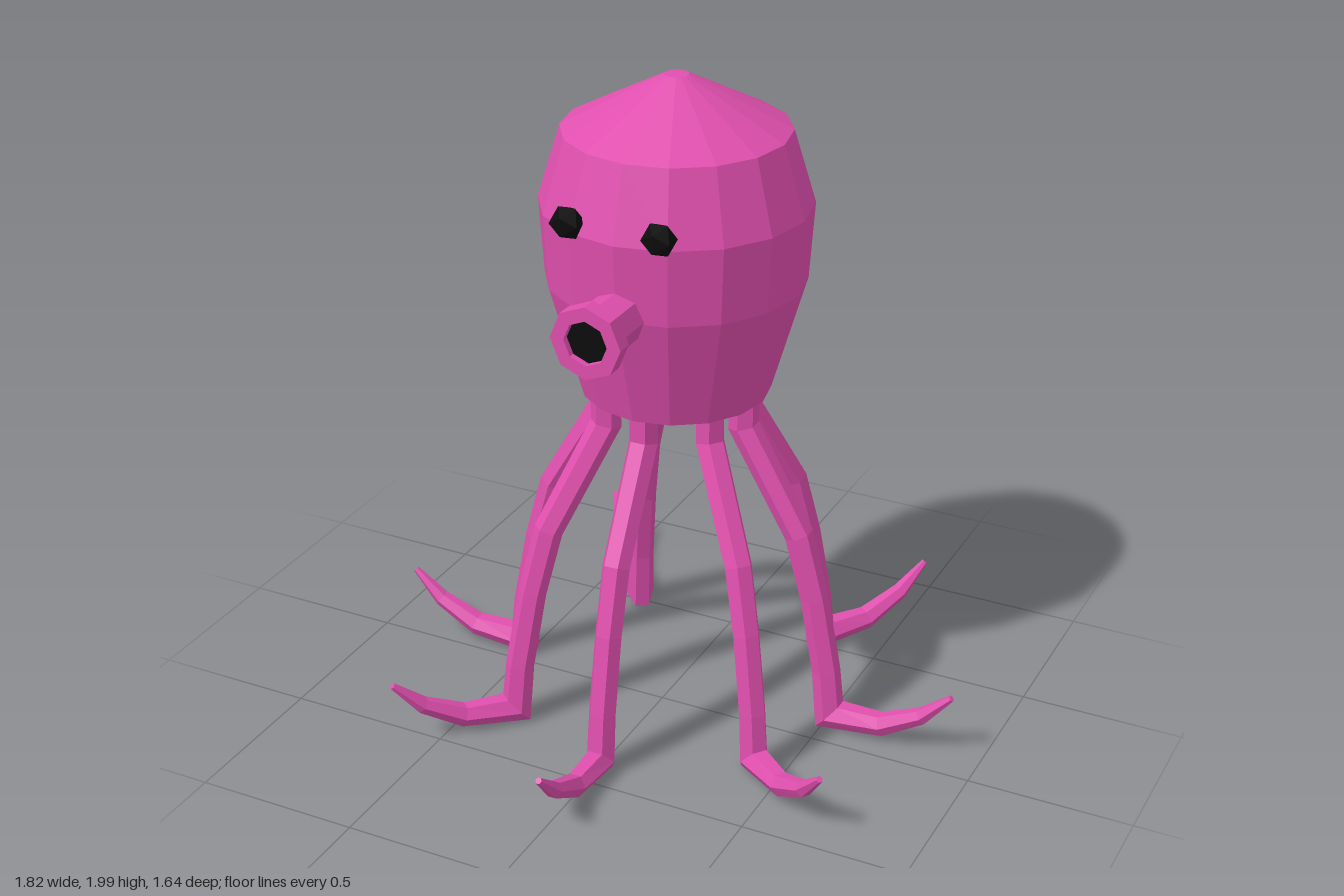
import * as THREE from 'three';

const CENTER_Z = -0.09;
const pink = new THREE.MeshStandardMaterial({ color: 0xe04fae, flatShading: true });
const black = new THREE.MeshStandardMaterial({ color: 0x0c0c0c, flatShading: true });

function add(parent, name, geometry, material) {
  const mesh = new THREE.Mesh(geometry, material);
  mesh.name = name;
  parent.add(mesh);
  return mesh;
}

function lathe(profile, sides) {
  return new THREE.LatheGeometry(profile.map(([r, y]) => new THREE.Vector2(r, y)), sides);
}

// Mitred six-sided limb; path rows are [outward distance, height, radius]
function limbGeometry(path, sides = 6) {
  const pts = path.map(([x, y]) => new THREE.Vector2(x, y));
  const pos = [], index = [];
  path.forEach(([x, y, r], i) => {
    const a = pts[i].clone().sub(pts[Math.max(i - 1, 0)]).normalize();
    const b = pts[Math.min(i + 1, pts.length - 1)].clone().sub(pts[i]).normalize();
    const t = a.clone().add(b).normalize();
    const mitre = r / Math.max(t.dot(i ? a : b), 0.6);
    for (let k = 0; k < sides; k++) {
      const ang = (k / sides) * Math.PI * 2;
      const s = Math.sin(ang) * mitre;
      pos.push(x - t.y * s, y + t.x * s, Math.cos(ang) * r);
      if (i < path.length - 1) {
        const p = i * sides + k, q = i * sides + ((k + 1) % sides);
        index.push(p, p + sides, q, q, p + sides, q + sides);
      }
    }
  });
  // close both ends
  const last = (path.length - 1) * sides;
  for (let k = 1; k < sides - 1; k++) {
    index.push(0, k, k + 1, last, last + k + 1, last + k);
  }
  const g = new THREE.BufferGeometry();
  g.setAttribute('position', new THREE.Float32BufferAttribute(pos, 3));
  g.setIndex(index);
  g.computeVertexNormals();
  return g;
}

export function createModel() {
  const model = new THREE.Group();
  model.name = 'octopus';

  // Head: faceted barrel with a shallow cone on top
  const head = add(model, 'head', lathe([
    [0, 1.05], [0.28, 1.05], [0.38, 1.4], [0.395, 1.63], [0.33, 1.845], [0.035, 2], [0, 2],
  ], 16), pink);
  head.position.z = CENTER_Z;

  // Eyes
  [['leftEye', 0.13], ['rightEye', -0.15]].forEach(([name, x]) => {
    const eye = add(model, name, new THREE.IcosahedronGeometry(0.051, 0), black);
    eye.position.set(x, 1.665, 0.283);
  });

  // Siphon: tube with a flanged rim and a dark recessed opening
  const siphon = new THREE.Group();
  siphon.name = 'siphon';
  siphon.rotation.x = Math.PI / 2;
  siphon.position.y = 1.408;
  model.add(siphon);
  add(siphon, 'siphonTube', lathe([
    [0.08, 0.2], [0.08, 0.42], [0.108, 0.42], [0.108, 0.47], [0.066, 0.47], [0.066, 0.45],
  ], 8), pink);
  add(siphon, 'siphonOpening', lathe([[0.066, 0.45], [0, 0.45]], 8), black);

  // Tentacles: seven copies of one limb, turned to their own headings (degrees from +x to +z)
  const limb = limbGeometry([
    [0.22, 1.1, 0.045], [0.22, 0.96, 0.045], [0.405, 0.64, 0.043], [0.46, 0.44, 0.042],
    [0.505, 0.2, 0.043], [0.52, 0.048, 0.045], [0.69, 0.06, 0.036], [0.815, 0.125, 0.026],
    [0.905, 0.212, 0.01],
  ]);
  [0, 37.5, 88.9, 132, 177, 231, 307].forEach((deg, i) => {
    const tentacle = add(model, `tentacle${i + 1}`, limb, pink);
    tentacle.rotation.y = -THREE.MathUtils.degToRad(deg);
    tentacle.position.z = CENTER_Z;
  });

  return model;
}
